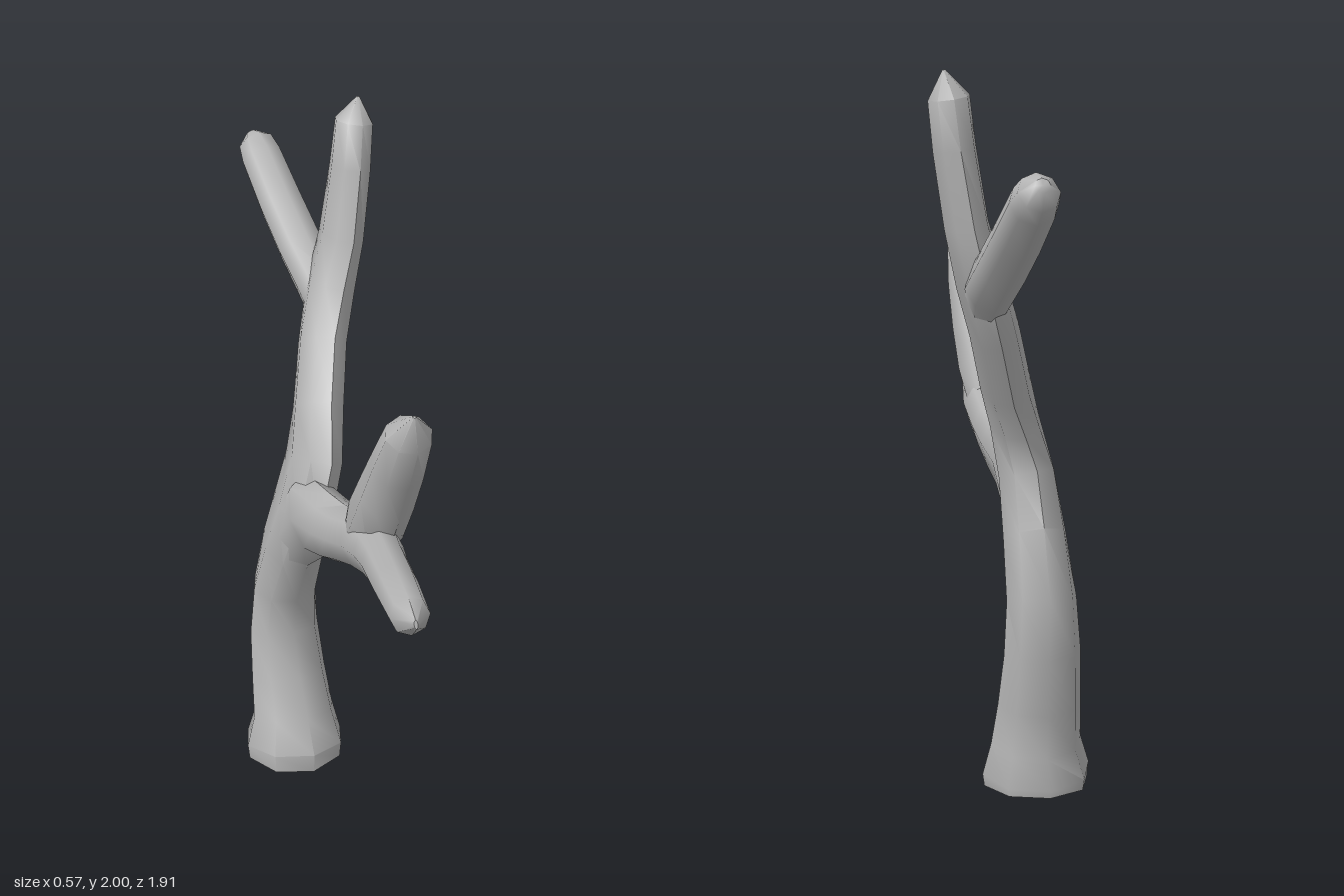
import * as THREE from 'three';
import { toCreasedNormals } from 'three/addons/utils/BufferGeometryUtils.js';

const SIDES = 8;

// Loft octagonal rings [x, y, z, sideways radius, in-plane radius] along a limb.
function limb(name, rings, material) {
  const centres = rings.map(([x, y, z]) => new THREE.Vector3(x, y, z));
  const positions = [];
  const index = [];
  rings.forEach(([, , , rs, ru], i) => {
    const before = centres[Math.max(i - 1, 0)];
    const after = centres[Math.min(i + 1, rings.length - 1)];
    const t = after.clone().sub(before).normalize();
    const s = new THREE.Vector3(1, 0, 0).addScaledVector(t, -t.x).normalize();
    const u = t.clone().cross(s);
    for (let j = 0; j < SIDES; j++) {
      const a = (j / SIDES) * Math.PI * 2;
      const p = centres[i].clone()
        .addScaledVector(s, rs * Math.cos(a))
        .addScaledVector(u, ru * Math.sin(a));
      positions.push(p.x, p.y, p.z);
      if (i > 0) {
        const k = (j + 1) % SIDES;
        const low = (i - 1) * SIDES;
        const high = i * SIDES;
        index.push(low + j, low + k, high + j, low + k, high + k, high + j);
      }
    }
  });
  // Close both ends with fans
  const start = positions.length / 3;
  const last = (rings.length - 1) * SIDES;
  positions.push(...centres[0].toArray(), ...centres[rings.length - 1].toArray());
  for (let j = 0; j < SIDES; j++) {
    const k = (j + 1) % SIDES;
    index.push(start, k, j, start + 1, last + j, last + k);
  }
  const geometry = new THREE.BufferGeometry();
  geometry.setAttribute('position', new THREE.Float32BufferAttribute(positions, 3));
  geometry.setIndex(index);
  const mesh = new THREE.Mesh(toCreasedNormals(geometry, 0.9), material);
  mesh.name = name;
  return mesh;
}

export function createModel() {
  const bark = new THREE.MeshStandardMaterial({ color: 0xb4b4b4 });
  bark.name = 'greyBark';
  const tree = new THREE.Group();
  tree.name = 'bareTree';

  const limbs = {
    // Curved trunk running on into the tall rear branch
    trunk: [
      [-0.065, 0, -0.255, 0.15, 0.15],
      [-0.065, 0.04, -0.255, 0.155, 0.155],
      [-0.06, 0.13, -0.272, 0.13, 0.118],
      [-0.062, 0.25, -0.3, 0.12, 0.095],
      [-0.06, 0.4, -0.335, 0.11, 0.078],
      [-0.06, 0.55, -0.325, 0.1, 0.09],
      [-0.055, 0.72, -0.268, 0.09, 0.105],
      [-0.05, 0.88, -0.2, 0.08, 0.115],
      [-0.015, 1.03, -0.2, 0.07, 0.13],
      [0.03, 1.15, -0.27, 0.07, 0.11],
      [0.085, 1.31, -0.36, 0.068, 0.1],
      [0.14, 1.45, -0.425, 0.066, 0.1],
      [0.18, 1.6, -0.435, 0.06, 0.088],
      [0.215, 1.8, -0.45, 0.058, 0.072],
      [0.232, 1.93, -0.46, 0.056, 0.06],
      [0.245, 2.0, -0.46, 0.004, 0.004],
    ],
    rearSideBranch: [
      [0.12, 1.37, -0.4, 0.05, 0.06],
      [0.13, 1.44, -0.49, 0.068, 0.075],
      [0.125, 1.51, -0.6, 0.07, 0.07],
      [0.12, 1.6, -0.73, 0.068, 0.068],
      [0.12, 1.695, -0.87, 0.064, 0.063],
      [0.12, 1.725, -0.915, 0.055, 0.055],
      [0.12, 1.745, -0.95, 0.02, 0.02],
    ],
    // Front branch leaving the trunk and ending in the low, long fork
    frontBranch: [
      [-0.055, 0.74, -0.25, 0.07, 0.09],
      [-0.055, 0.895, -0.11, 0.078, 0.125],
      [-0.055, 0.92, 0.03, 0.075, 0.1],
      [-0.055, 0.95, 0.13, 0.075, 0.085],
      [-0.06, 0.995, 0.25, 0.075, 0.085],
      [-0.085, 1.035, 0.38, 0.07, 0.075],
      [-0.115, 1.06, 0.48, 0.062, 0.065],
      [-0.165, 1.095, 0.65, 0.06, 0.058],
      [-0.232, 1.14, 0.87, 0.052, 0.052],
      [-0.255, 1.165, 0.95, 0.005, 0.012],
    ],
    frontUprightBranch: [
      [-0.055, 0.99, 0.22, 0.06, 0.06],
      [-0.06, 1.09, 0.31, 0.075, 0.1],
      [-0.06, 1.2, 0.375, 0.077, 0.09],
      [-0.062, 1.32, 0.445, 0.075, 0.077],
      [-0.07, 1.45, 0.525, 0.066, 0.062],
      [-0.075, 1.52, 0.565, 0.004, 0.004],
    ],
  };
  for (const [name, rings] of Object.entries(limbs)) tree.add(limb(name, rings, bark));
  return tree;
}
